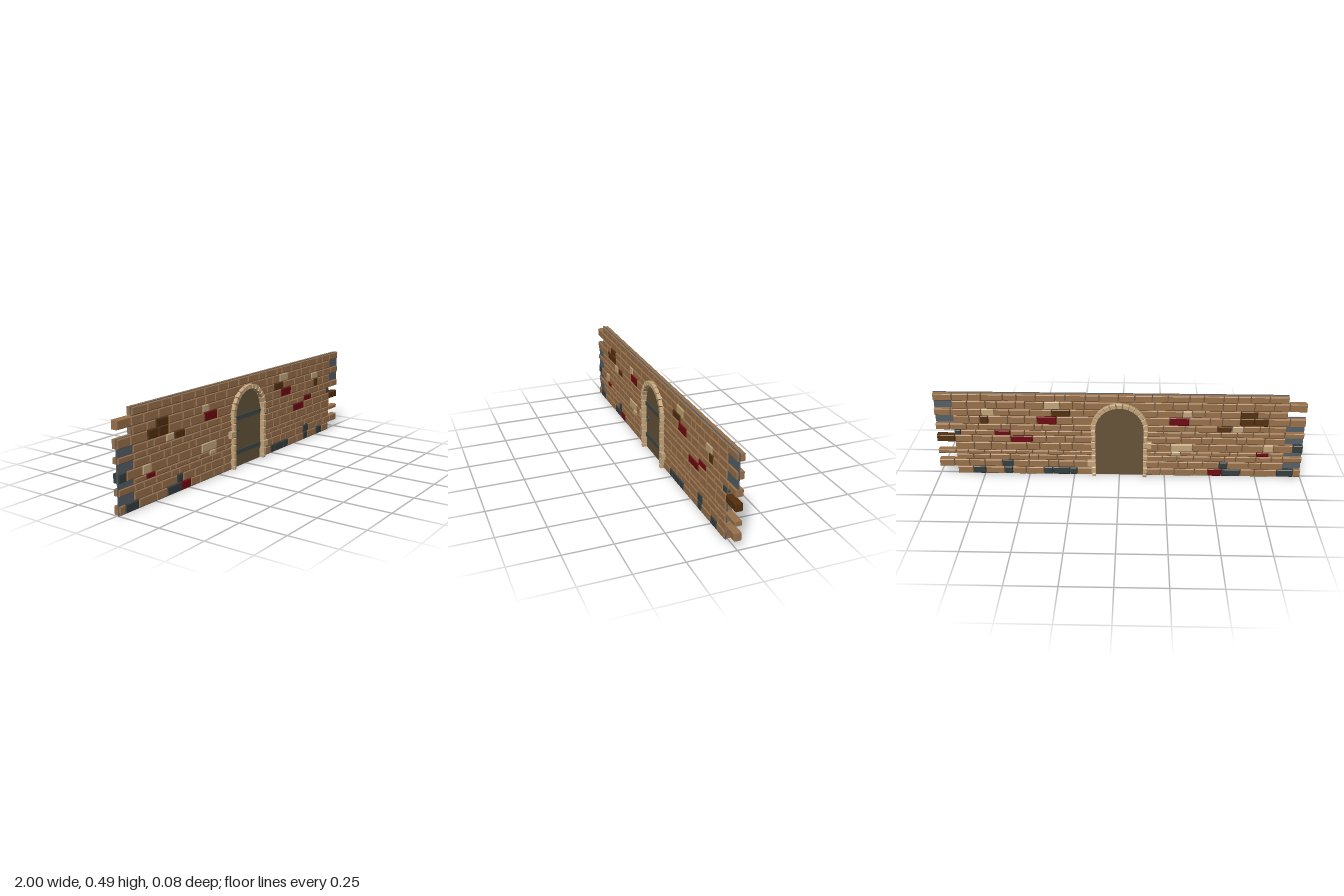
import * as THREE from 'three';
import { mergeGeometries } from 'three/addons/utils/BufferGeometryUtils.js';

const mat = (name, color, side = THREE.FrontSide) => {
  const m = new THREE.MeshStandardMaterial({ color, side });
  m.name = name;
  return m;
};

// Row boundaries from the ground up
const ROWS = [0.002, 0.047, 0.091, 0.126, 0.152, 0.2, 0.242, 0.274, 0.312, 0.36, 0.401, 0.448, 0.489];
// Accent bricks: row, start x, end x, colour
const ACCENTS = [
  [0, -0.96, -0.87, 'slate'], [0, -0.67, -0.565, 'slate'], [0, -0.565, -0.49, 'red'],
  [0, 0.235, 0.275, 'slate'], [0, 0.275, 0.37, 'slate'], [0, 0.37, 0.42, 'slate'],
  [0, 0.595, 0.64, 'slate'], [0, 0.745, 0.815, 'slate'],
  [1, -0.595, -0.55, 'slate'], [1, 0.59, 0.65, 'slate'],
  [3, -0.815, -0.75, 'red'], [3, -0.335, -0.285, 'tan'],
  [4, -1, -0.945, 'slate'], [4, -0.84, -0.785, 'tan'], [4, -0.4, -0.28, 'tan'],
  [5, 0.475, 0.595, 'red'], [5, 0.9, 1, 'umber'],
  [6, 0.595, 0.68, 'red'], [6, 0.865, 0.9, 'slate'],
  [7, -0.67, -0.61, 'tan'], [7, -0.605, -0.53, 'umber'],
  [8, -0.8, -0.725, 'umber'], [8, -0.725, -0.65, 'umber'], [8, -0.375, -0.27, 'red'],
  [8, 0.34, 0.445, 'red'], [8, 0.71, 0.755, 'umber'],
  [9, -0.74, -0.65, 'umber'], [9, -0.39, -0.34, 'tan'], [9, 0.265, 0.365, 'umber'], [9, 0.675, 0.745, 'tan'],
  [10, 0.32, 0.405, 'tan'],
];
const SPRING = 0.29, INNER = 0.13, OUTER = 0.156;

let seed = 7;
const rand = () => (seed = (seed * 16807) % 2147483647) / 2147483647;

const polygon = pts => new THREE.Shape(pts.map(p => new THREE.Vector2(p[0], p[1])));

// Chamfered block from a counter-clockwise outline, centred on z = 0
function block(pts, depth, bevel) {
  const g = new THREE.ExtrudeGeometry(polygon(pts), {
    depth: depth - 2 * bevel, bevelEnabled: true, bevelSegments: 1,
    bevelSize: bevel, bevelThickness: bevel, bevelOffset: -bevel,
  });
  return g.translate(0, 0, bevel - depth / 2);
}

// Arched outline: straight jambs and a half-round head
function arch(r, y0) {
  const s = new THREE.Shape();
  s.moveTo(-r, y0);
  s.lineTo(r, y0);
  s.lineTo(r, SPRING);
  s.absarc(0, SPRING, r, 0, Math.PI, false);
  s.lineTo(-r, y0);
  return s;
}

// Half width of the gap left in the brickwork at height y
const openingAt = y => (y <= SPRING ? 0.141 : Math.sqrt(Math.max(0, 0.142 ** 2 - (y - SPRING) ** 2)));

export function createModel() {
  const model = new THREE.Group();
  const M = {
    brown: mat('brick brown', 0x99714b), umber: mat('dark umber brick', 0x54300f),
    red: mat('deep red brick', 0x6e0a10), slate: mat('dark slate stone', 0x363f3e),
    tan: mat('tan stone', 0xc4a67c), mortar: mat('grey mortar', 0x566068),
    wood: mat('door wood', 0x665338), iron: mat('dark iron', 0x3c4848),
  };
  const add = (name, geometry, material, parent = model) => {
    const m = new THREE.Mesh(geometry, material);
    m.name = name;
    parent.add(m);
    return m;
  };

  // Brick courses, alternately shifted so the ends interlock
  const bricks = { brown: [], umber: [], red: [], slate: [], tan: [] };
  const brick = (color, y0, y1, a0, a1, b0, b1) => {
    const g = 0.0015;
    bricks[color].push(block([[a0 + g, y0 + g], [b0 - g, y0 + g], [b1 - g, y1 - g], [a1 + g, y1 - g]], 0.039, 0.0035));
  };
  for (let r = 0; r < 12; r++) {
    const y0 = ROWS[r], y1 = ROWS[r + 1];
    const lo = r % 2 ? -0.9 : -1, hi = r % 2 ? 1 : 0.9;
    const w0 = openingAt(y0), w1 = openingAt(y1);
    // Fill a span with plain bricks; the bottom and top ends may differ at the arch
    const fill = (a0, a1, b0, b1) => {
      const n = Math.max(1, Math.round((b0 - a0) / 0.09));
      let p0 = a0, p1 = a1;
      for (let i = 1; i <= n; i++) {
        const c = a0 + ((b0 - a0) * (i + (rand() - 0.5) * 0.55)) / n;
        const q0 = i === n ? b0 : c, q1 = i === n ? b1 : c;
        brick('brown', y0, y1, p0, p1, q0, q1);
        p0 = q0; p1 = q1;
      }
    };
    const sides = r === 11 ? [[lo, lo, hi, hi]] : [[lo, lo, -w0, -w1], [w0, w1, hi, hi]];
    for (const [a0, a1, b0, b1] of sides) {
      let p0 = a0, p1 = a1;
      for (const [, s, e, color] of ACCENTS.filter(k => k[0] === r && k[1] >= a0 && k[2] <= b0)) {
        if (s - p0 > 0.012) fill(p0, p1, s, s);
        brick(color, y0, y1, s, s, e, e);
        p0 = p1 = e;
      }
      if (b0 - p0 > 0.012) fill(p0, p1, b0, b1);
    }
  }
  for (const k in bricks) add(k + 'Bricks', mergeGeometries(bricks[k]), M[k]);

  // Mortar sheet behind the joints, stepped at both ends, with the doorway cut out
  const sheet = polygon([
    [-1, 0], [-0.142, 0], [-0.142, SPRING],
    ...Array.from({ length: 15 }, (_, i) => {
      const a = Math.PI * (1 - (i + 1) / 16);
      return [0.142 * Math.cos(a), SPRING + 0.142 * Math.sin(a)];
    }),
    [0.142, SPRING], [0.142, 0], [0.9, 0], [0.9, 0.313], [1, 0.313], [1, 0.49], [-0.9, 0.49], [-0.9, 0.36], [-1, 0.36],
  ]);
  add('mortarSheet', new THREE.ExtrudeGeometry(sheet, { depth: 0.007, bevelEnabled: false }).translate(0, 0, 0.0055), M.mortar);

  // Doorway surround: jamb stones, with one wide stone on each side
  const stones = [];
  const courses = [0.001, 0.024, 0.063, 0.103, 0.139, 0.178, 0.218, 0.254, SPRING];
  for (const side of [-1, 1]) {
    for (let i = 0; i < 8; i++) {
      const wide = (side < 0 && i === 5) || (side > 0 && i === 2);
      const out = wide ? 0.176 : 0.15 + (i % 2) * 0.004;
      const a = Math.min(side * INNER, side * out), b = Math.max(side * INNER, side * out);
      const y0 = courses[i] + 0.002, y1 = courses[i + 1] - 0.002;
      stones.push(block([[a, y0], [b, y0], [b, y1], [a, y1]], 0.078, 0.0025));
    }
  }
  // Wedge stones around the head
  const N = 13;
  for (let i = 0; i < N; i++) {
    const a = (Math.PI * (i + 0.05)) / N, b = (Math.PI * (i + 0.95)) / N;
    const at = (rad, t) => [rad * Math.cos(t), SPRING + rad * Math.sin(t)];
    stones.push(block([at(INNER, a), at(OUTER, a), at(OUTER, b), at(INNER, b)], 0.078, 0.0025));
  }
  add('doorwayStones', mergeGeometries(stones), M.tan);

  // Door leaf with iron bands and a ring handle on the front
  const door = new THREE.Group();
  door.name = 'door';
  model.add(door);
  add('doorLeaf', new THREE.ExtrudeGeometry(arch(0.135, 0.003), { depth: 0.024, bevelEnabled: false, curveSegments: 24 })
    .translate(0, 0, -0.012), M.wood, door);
  for (const y of [0.083, 0.273]) {
    add('ironBand', new THREE.BoxGeometry(0.262, 0.023, 0.006), M.iron, door).position.set(0, y, 0.0145);
  }
  add('handlePlate', new THREE.CylinderGeometry(0.009, 0.009, 0.006, 16).rotateX(Math.PI / 2), M.iron, door)
    .position.set(-0.093, 0.198, 0.014);
  add('handleRing', new THREE.TorusGeometry(0.012, 0.003, 8, 20), M.iron, door).position.set(-0.093, 0.196, 0.019);
  return model;
}
